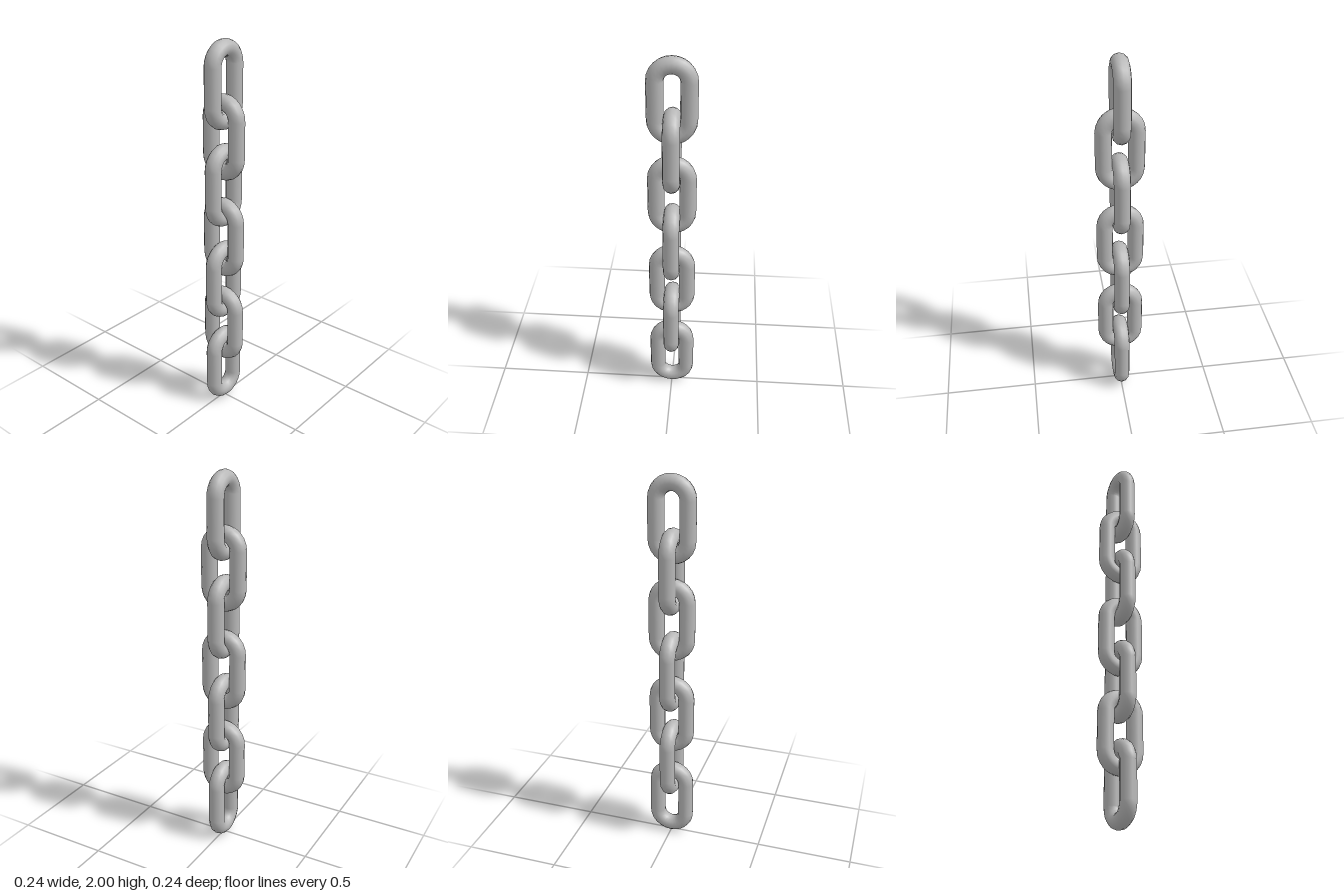
import * as THREE from 'three';

const RING = 0.08;      // centre-line radius of the rounded ends
const WIRE = 0.042;     // radius of the bar
const HEIGHT = 0.438;   // overall height of one link
const ARC = 12;         // steps in each rounded end

// A torus cut in two halves and pulled apart, which leaves straight sides
function linkGeometry() {
  const steps = ARC * 2 + 2;
  const shift = HEIGHT / 2 - RING - WIRE;
  const geo = new THREE.TorusGeometry(RING, WIRE, 12, steps);
  const { position, normal, uv } = geo.attributes;
  const axis = new THREE.Vector3(0, 0, 1);
  const p = new THREE.Vector3();
  const n = new THREE.Vector3();
  for (let v = 0; v < position.count; v++) {
    const i = Math.round(uv.getX(v) * steps);
    const lower = i > ARC && i < steps;
    const angle = (lower ? i - 1 : i === steps ? i - 2 : i) * Math.PI / ARC;
    const turn = angle - i * Math.PI * 2 / steps;
    p.fromBufferAttribute(position, v).applyAxisAngle(axis, turn);
    n.fromBufferAttribute(normal, v).applyAxisAngle(axis, turn);
    position.setXYZ(v, p.x, p.y + (lower ? -shift : shift), p.z);
    normal.setXYZ(v, n.x, n.y, n.z);
  }
  return geo;
}

export function createModel() {
  const group = new THREE.Group();
  group.name = 'chain';
  const steel = new THREE.MeshStandardMaterial({ color: 0xb8b8b8 });
  steel.name = 'grey steel';
  const geo = linkGeometry();

  // Top of each link, from the highest down; every other one is turned
  const tops = [2, 1.74, 1.49, 1.203, 0.957, 0.69, HEIGHT];
  tops.forEach((top, i) => {
    const link = new THREE.Mesh(geo, steel);
    link.name = `link${i + 1}`;
    link.position.y = top - HEIGHT / 2;
    if (i % 2 === 0) link.rotation.y = Math.PI / 2;
    group.add(link);
  });
  return group;
}
